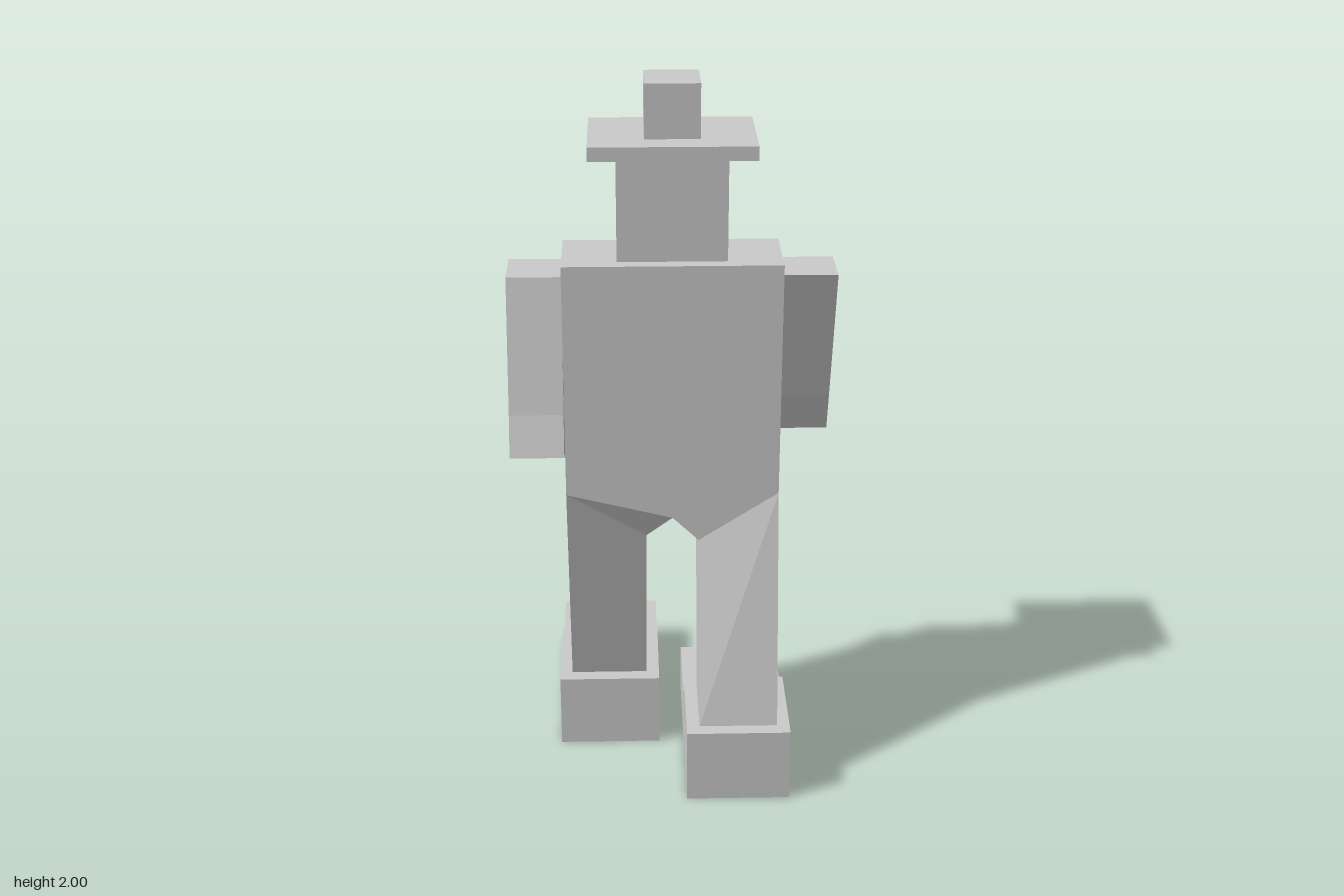
import * as THREE from 'three';

const material = new THREE.MeshStandardMaterial({ color: 0xcccccc, flatShading: true });
const MID_Z = 0.1435; // z of the body's vertical centre line

function part(name, geometry) {
  const mesh = new THREE.Mesh(geometry, material);
  mesh.name = name;
  return mesh;
}

// Box given by its ranges on each axis
function box(name, [x0, x1], [y0, y1], [z0, z1]) {
  const g = new THREE.BoxGeometry(x1 - x0, y1 - y0, z1 - z0);
  g.translate((x0 + x1) / 2, (y0 + y1) / 2, (z0 + z1) / 2);
  return part(name, g);
}

// Flat-sided limb through four-cornered rings, listed from top to bottom.
// Corner order: outer front, inner front, inner back, outer back.
function loft(rings, flip, caps) {
  const points = [];
  const tri = (...corners) => corners.forEach((c) => points.push(...c));
  for (let r = 0; r < rings.length - 1; r++) {
    const a = rings[r], b = rings[r + 1];
    for (let i = 0; i < 4; i++) {
      const j = (i + 1) % 4;
      if (flip) { tri(a[i], a[j], b[j]); tri(a[i], b[j], b[i]); }
      else { tri(a[i], a[j], b[i]); tri(a[j], b[j], b[i]); }
    }
  }
  if (caps) {
    const t = rings[0], e = rings[rings.length - 1];
    tri(t[0], t[2], t[1]); tri(t[0], t[3], t[2]);
    tri(e[0], e[1], e[2]); tri(e[0], e[2], e[3]);
  }
  const g = new THREE.BufferGeometry();
  g.setAttribute('position', new THREE.Float32BufferAttribute(points, 3));
  g.computeVertexNormals();
  return g;
}

// Half turn about the body's centre line, for the opposite stride
function turnAround(mesh) {
  mesh.rotation.y = Math.PI;
  mesh.position.z = 2 * MID_Z;
  return mesh;
}

// Hip, crotch corner and ankle of one leg
function legGeometry(flip) {
  return loft([
    [[0.29, 0.873, 0.252], [0, 0.8, 0.252], [0, 0.8, 0.035], [0.29, 0.873, 0.035]],
    [[0.29, 0.873, 0.252], [0.072, 0.73, 0.252], [0.072, 0.73, 0.067], [0.29, 0.873, 0.035]],
    [[0.29, 0.217, 0.397], [0.072, 0.217, 0.397], [0.072, 0.217, 0.182], [0.29, 0.217, 0.182]],
  ], flip, false);
}

// Each section is [front z, front y, back z, back y]
function armGeometry(sections) {
  const inner = 0.29, outer = 0.435;
  return loft(sections.map(([zf, yf, zb, yb]) => [
    [outer, yf, zf], [inner, yf, zf], [inner, yb, zb], [outer, yb, zb],
  ]), false, true);
}

export function createModel() {
  const model = new THREE.Group();
  model.name = 'walkingFigure';

  // Torso with a shallow point at the crotch
  const outline = new THREE.Shape([
    [-0.29, 1.53], [-0.29, 0.873], [0, 0.8], [0.29, 0.873], [0.29, 1.53],
  ].map(([x, y]) => new THREE.Vector2(x, y)));
  const torso = new THREE.ExtrudeGeometry(outline, { depth: 0.217, bevelEnabled: false });
  torso.translate(0, 0, 0.035);
  model.add(part('torso', torso));

  // Head and hat
  model.add(
    box('head', [-0.145, 0.145], [1.53, 1.82], [0.071, 0.216]),
    box('hatBrim', [-0.216, 0.216], [1.82, 1.857], [0, 0.288]),
    box('hatCrown', [-0.072, 0.072], [1.857, 2], [0.071, 0.216]),
  );

  // Thin square eyes just off the face
  for (const side of [1, -1]) {
    const eye = part(side > 0 ? 'leftEye' : 'rightEye', new THREE.PlaneGeometry(0.073, 0.073));
    eye.rotation.y = Math.PI;
    eye.position.set(side * 0.073, 1.75, 0.047);
    model.add(eye);
  }

  // Arms, swinging in opposite directions
  const shoulder = [0.216, 1.49, 0.071, 1.49];
  model.add(
    part('leftArm', armGeometry([shoulder, [0.106, 1.1, -0.032, 1.143], [0.071, 0.985, -0.074, 1.02]])),
    turnAround(part('rightArm', armGeometry([shoulder, [0.142, 1.1, -0.004, 1.13], [0.107, 0.985, -0.038, 1.02]]))),
  );

  // Legs in mid stride
  model.add(
    part('leftLeg', legGeometry(true)),
    turnAround(part('rightLeg', legGeometry(false))),
  );

  // Shoes: tall heel block and lower toe block
  for (const [name, x, heelZ] of [['left', [0.036, 0.325], 0.145], ['right', [-0.325, -0.036], -0.145]]) {
    model.add(
      box(name + 'Heel', x, [0, 0.217], [heelZ, heelZ + 0.29]),
      box(name + 'Toe', x, [0, 0.145], [heelZ - 0.29, heelZ]),
    );
  }
  return model;
}
